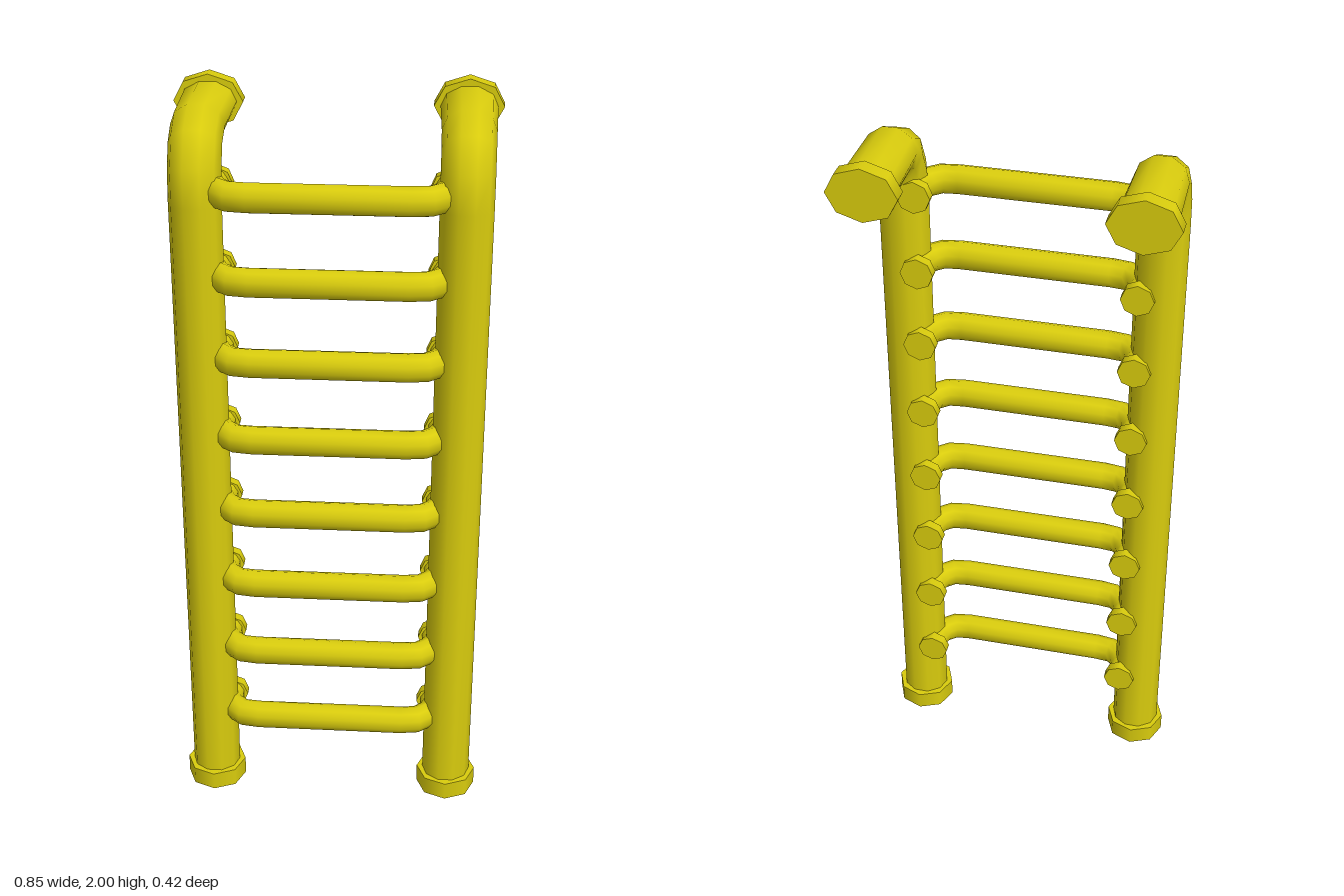
import * as THREE from 'three';

const yellow = new THREE.MeshStandardMaterial({ color: 0xd9cc0d });
yellow.name = 'yellow paint';

// Smooth pipe along planar points; binormal is the axis square to that plane.
// radii(i) gives [along the binormal, in the plane] at point i.
function pipe(points, binormal, radii, sides) {
  const pos = [], index = [];
  points.forEach((p, i) => {
    const before = points[Math.max(i - 1, 0)];
    const after = points[Math.min(i + 1, points.length - 1)];
    const a = p.clone().sub(before).normalize();
    const tangent = after.clone().sub(p).normalize().add(a).normalize();
    const normal = tangent.clone().cross(binormal);
    const [rb, rn] = radii(i);
    for (let j = 0; j < sides; j++) {
      const t = (j / sides) * Math.PI * 2;
      const v = p.clone()
        .addScaledVector(binormal, Math.cos(t) * rb)
        .addScaledVector(normal, Math.sin(t) * rn);
      pos.push(v.x, v.y, v.z);
      if (i < points.length - 1) {
        const k = (j + 1) % sides;
        const q = i * sides + j, r = i * sides + k;
        index.push(q, r, r + sides, q, r + sides, q + sides);
      }
    }
  });
  const geo = new THREE.BufferGeometry();
  geo.setAttribute('position', new THREE.Float32BufferAttribute(pos, 3));
  geo.setIndex(index);
  geo.computeVertexNormals();
  return geo;
}

export function createModel() {
  const model = new THREE.Group();
  model.name = 'wallLadder';

  const add = (name, geo, x = 0, y = 0, z = 0) => {
    const mesh = new THREE.Mesh(geo, yellow);
    mesh.name = name;
    mesh.position.set(x, y, z);
    model.add(mesh);
    return mesh;
  };

  // Upright rails that bend back to the wall at the top
  const railPath = [
    [0.02, 0.123], [1.76, 0.123], [1.84, 0.114], [1.9, 0.083],
    [1.928, 0.03], [1.93, -0.19],
  ].map(([y, z]) => new THREE.Vector3(0, y, z));
  const railRadii = [
    [0.067, 0.065], [0.067, 0.065], [0.067, 0.067],
    [0.067, 0.066], [0.068, 0.061], [0.074, 0.053],
  ];
  const railGeo = pipe(railPath, new THREE.Vector3(1, 0, 0), (i) => railRadii[i], 10);

  // Octagonal flanges
  const footGeo = new THREE.CylinderGeometry(0.083, 0.083, 0.052, 8);
  const wallGeo = new THREE.CylinderGeometry(0.09, 0.09, 0.043, 8)
    .rotateX(Math.PI / 2).scale(1, 0.78, 1);
  const rungEndGeo = new THREE.CylinderGeometry(0.044, 0.044, 0.028, 8).rotateX(Math.PI / 2);

  for (const [side, s] of [['left', 1], ['right', -1]]) {
    const x = s * 0.334;
    add(side + 'Rail', railGeo, x);
    add(side + 'FootFlange', footGeo, x, 0.026, 0.123);
    add(side + 'WallFlange', wallGeo, x, 1.93, -0.1885);
  }

  // Rungs with both ends bent back through the rails
  const half = [[0.2, 0.173], [0.245, 0.167], [0.275, 0.142], [0.287, 0.11], [0.288, 0.064]];
  const rungPath = [
    ...half.map(([x, z]) => [-x, z]).reverse(),
    ...half,
  ].map(([x, z]) => new THREE.Vector3(x, 0, z));
  const rungGeo = pipe(rungPath, new THREE.Vector3(0, 1, 0), () => [0.039, 0.034], 10);

  for (let i = 0; i < 8; i++) {
    const y = 0.25 + i * 0.2205;
    add('rung' + (i + 1), rungGeo, 0, y, 0);
    add('leftRungFlange' + (i + 1), rungEndGeo, 0.288, y, 0.064);
    add('rightRungFlange' + (i + 1), rungEndGeo, -0.288, y, 0.064);
  }
  return model;
}
